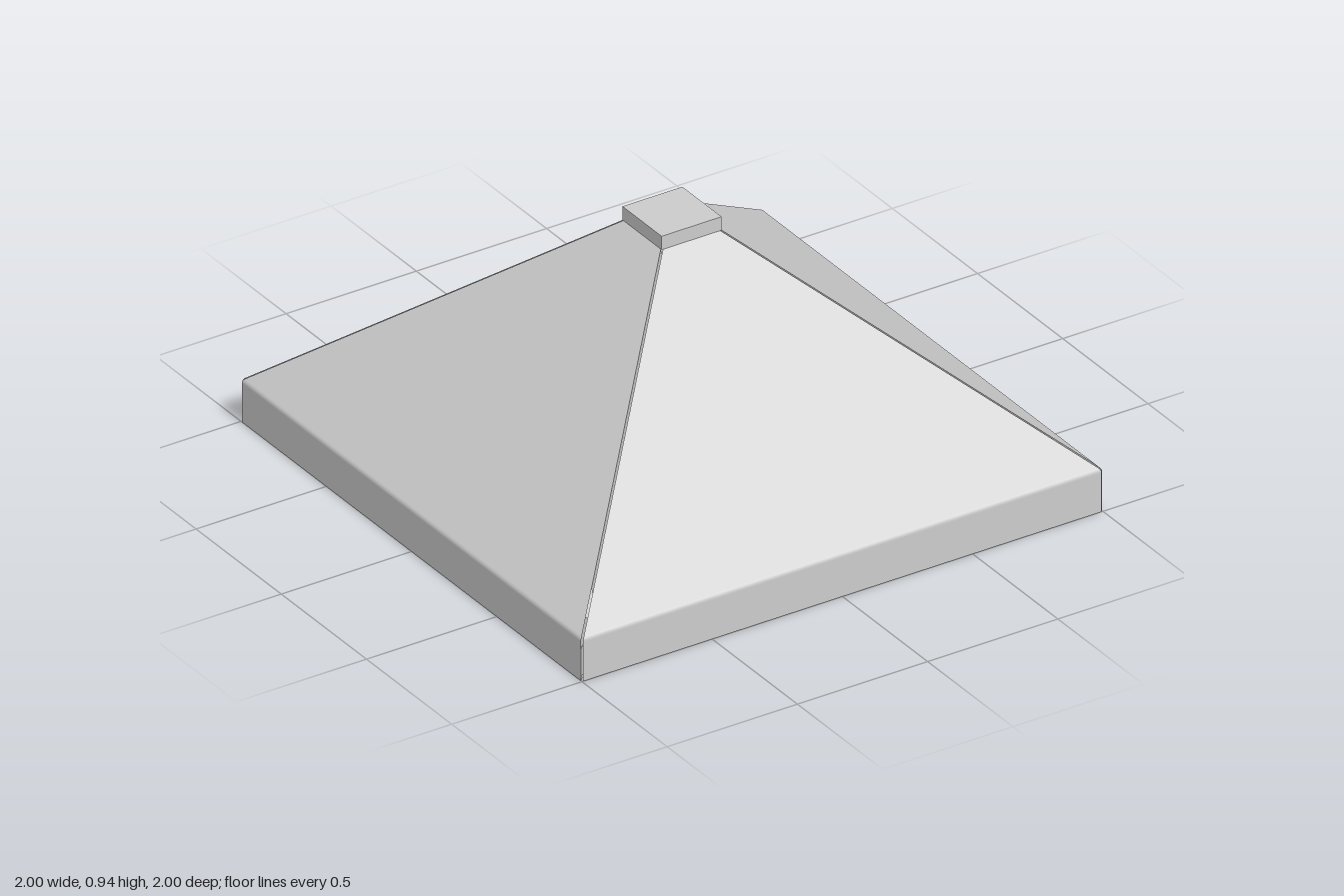
import * as THREE from 'three';

const HALF = 1, SKIRT = 0.155, TOP_Y = 0.895, TOP = 0.115, GAP = 0.005, LIP = 0.05;
const FLANGE = 0.2, RETURN = 0.1;
const material = new THREE.MeshStandardMaterial({ color: 0xcccccc, flatShading: true, side: THREE.DoubleSide });

// sheet-metal faces: each quad is four corners in order
function sheet(name, quads) {
  const pos = [];
  for (const [a, b, c, d] of quads) for (const v of [a, b, c, a, c, d]) pos.push(v.x, v.y, v.z);
  const geo = new THREE.BufferGeometry();
  geo.setAttribute('position', new THREE.Float32BufferAttribute(pos, 3));
  geo.computeVertexNormals();
  const mesh = new THREE.Mesh(geo, material);
  mesh.name = name;
  return mesh;
}

const V = (x, y, z) => new THREE.Vector3(x, y, z);
const shift = (p, dir, d) => p.clone().addScaledVector(dir, d);

function roofSide() {
  const side = new THREE.Group();

  // lip, skirt, soft bend and sloping face swept along one profile
  const bend = new THREE.QuadraticBezierCurve3(
    V(0, SKIRT - 0.01, HALF), V(0, SKIRT, HALF), V(0, SKIRT + 0.0064, HALF - 0.0077)).getPoints(5);
  const profile = [V(0, 0, HALF - LIP), V(0, 0, HALF), ...bend, V(0, TOP_Y, TOP)];
  const rows = profile.map(({ y, z }) => [V(GAP - z, y, z), V(z - GAP, y, z)]);
  side.add(sheet('foldedPanel', rows.slice(1).map(([l, r], i) => [rows[i][0], rows[i][1], r, l])));

  for (const s of [-1, 1]) {
    const foot = V(s * (HALF - GAP), SKIRT, HALF), head = V(s * (TOP - GAP), TOP_Y, TOP);
    const down = V(-0.36 * s, -0.865, -0.36);       // square to the hip, in its mitre plane
    const back = V(-0.707 * s, 0, 0.707);           // level, away from the mitre plane
    const along = V(0.608 * s, -0.51, 0.608);       // down the hip
    const start = foot.clone().lerp(head, 0.13);
    const a = shift(start, down, FLANGE), b = shift(head, down, FLANGE);

    // flange along the hip and its square return, chamfered at the top
    side.add(sheet('hipFlange', [[start, head, b, a]]));
    side.add(sheet('hipReturn', [[a, b, shift(shift(b, back, RETURN), along, 0.12), shift(a, back, RETURN)]]));

    // matching flange and return at the end of the skirt
    const into = V(-0.707 * s, 0, -0.707);
    const low = V(s * (HALF - GAP), 0.01, HALF), high = V(s * (HALF - GAP), 0.12, HALF);
    const c = shift(low, into, FLANGE), d = shift(high, into, FLANGE);
    side.add(sheet('cornerFlange', [
      [low, high, d, c], [c, d, shift(d, back, RETURN), shift(c, back, RETURN)]]));
  }
  return side;
}

export function createModel() {
  const model = new THREE.Group();
  model.name = 'pyramidRoof';

  ['front', 'left', 'back', 'right'].forEach((label, i) => {
    const side = roofSide();
    side.name = label + 'Side';
    side.rotation.y = i * Math.PI / 2;
    model.add(side);
  });

  // square cap closing the top
  const cap = new THREE.Mesh(new THREE.BoxGeometry(2 * TOP, 0.05, 2 * TOP), material);
  cap.name = 'topCap';
  cap.position.y = TOP_Y + 0.025;
  model.add(cap);
  return model;
}
